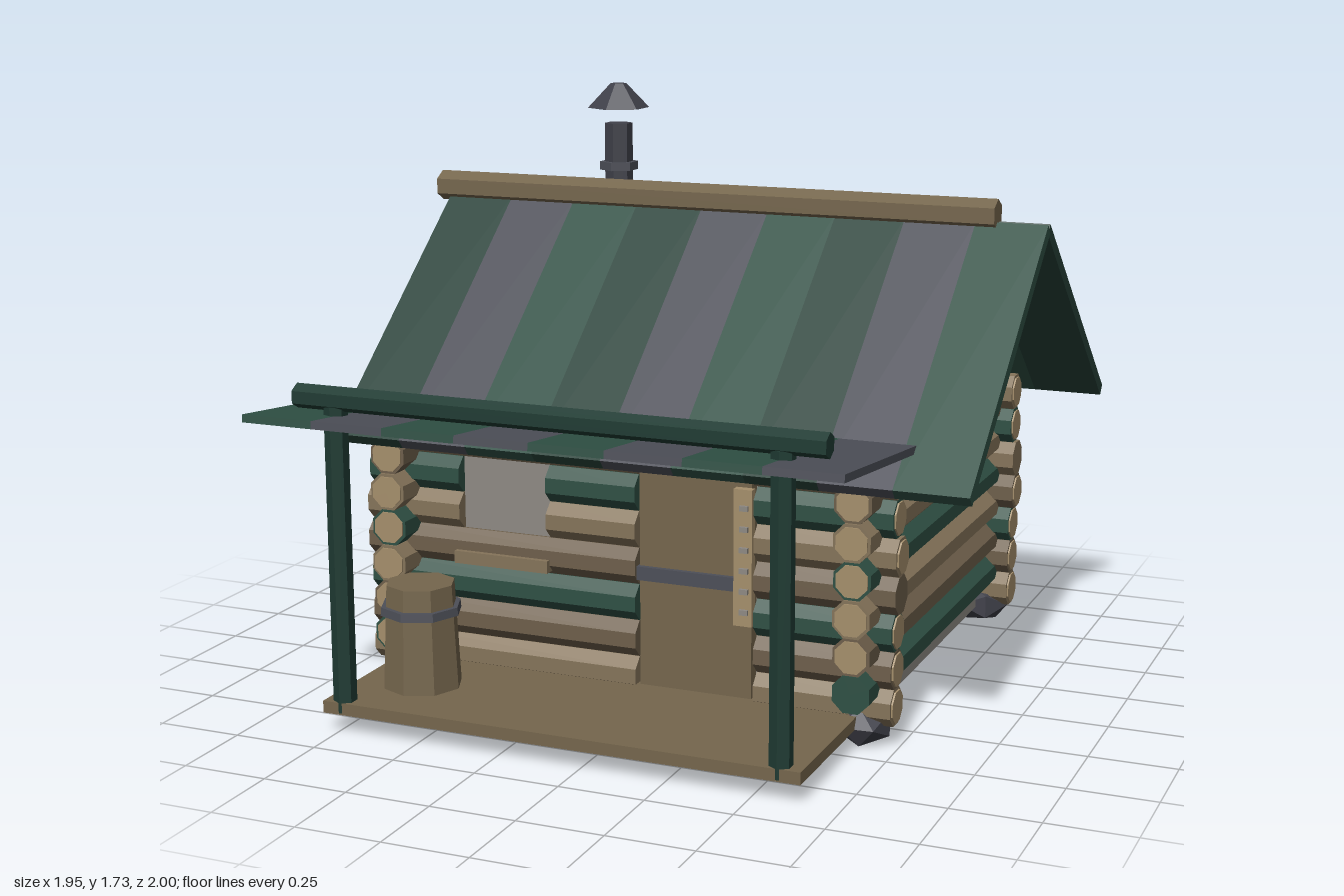
import * as THREE from 'three';

const mat = (color) => new THREE.MeshStandardMaterial({ color, flatShading: true });
const green = mat(0x2f5044), darkGreen = mat(0x274239), postGreen = mat(0x1f3b33), slate = mat(0x4d4f58);
const brown = mat(0x85745a), darkBrown = mat(0x6e5f4b), plank = mat(0x75664d), tan = mat(0xa58f6c);
const wallGrey = mat(0x8e8a84), metal = mat(0x40414a);

export function createModel() {
  const root = new THREE.Group();
  root.name = 'logCabin';

  function add(name, geo, material, x = 0, y = 0, z = 0) {
    const m = new THREE.Mesh(geo, material);
    m.name = name;
    m.position.set(x, y, z);
    root.add(m);
    return m;
  }
  // Box given by its limits
  const block = (name, material, x0, x1, y0, y1, z0, z1) =>
    add(name, new THREE.BoxGeometry(x1 - x0, y1 - y0, z1 - z0), material,
      (x0 + x1) / 2, (y0 + y1) / 2, (z0 + z1) / 2);
  const post = (name, material, r0, r1, h, sides, x, y, z) =>
    add(name, new THREE.CylinderGeometry(r1, r0, h, sides), material, x, y + h / 2, z);

  // Cylinder running along x or z from a to b
  function beam(name, axis, a, b, r, sides, material, y, other) {
    const g = new THREE.CylinderGeometry(r, r, b - a, sides);
    g.rotateY(sides === 8 ? Math.PI / 8 : 0);
    if (axis === 'x') g.rotateZ(-Math.PI / 2); else g.rotateX(Math.PI / 2);
    const c = (a + b) / 2;
    return axis === 'x' ? add(name, g, material, c, y, other) : add(name, g, material, other, y, c);
  }
  // Log with pale cut faces at the chosen ends
  function log(axis, a, b, material, y, other, capA = true, capB = true) {
    beam('log', axis, a, b, 0.058, 8, material, y, other);
    if (capA) beam('logEnd', axis, a - 0.005, a, 0.049, 8, tan, y, other);
    if (capB) beam('logEnd', axis, b, b + 0.005, 0.049, 8, tan, y, other);
  }

  const xL = 0.64, xR = -0.79, zF = 0.37, zB = -0.84;

  // Inner walls and floor
  block('innerWalls', wallGrey, xR, xL, 0.065, 0.83, zB, zF);

  // Front and back logs; the front ones leave openings for door and window
  for (let i = 0; i < 7; i++) {
    const y = 0.123 + i * 0.108;
    const m = i % 3 === 2 ? green : i % 2 ? darkBrown : brown;
    const e = i === 3 || i === 4 ? 0.01 : 0;
    const a = -0.885 - e, b = 0.735 + e;
    log('x', a, b, m, y, zB, true, i !== 4);
    if (i === 6) { log('x', a, b, m, y, zF); continue; }
    const hasWindow = i === 4 || i === 5;
    log('x', a, hasWindow ? -0.59 : -0.03, m, y, zF, true, false);
    if (hasWindow) log('x', -0.31, -0.03, m, y, zF, false, false);
    log('x', 0.33, b, m, y, zF, false, i !== 3);
  }
  // Side logs
  for (const x of [xL, xR]) {
    for (let i = 0; i < 6; i++) {
      const m = i % 3 === 0 ? green : i % 2 ? darkBrown : brown;
      const e = i === 4 || i === 2 ? 0.006 : 0;
      log('z', -0.945 - e, 0.485 + e, m, 0.18 + i * 0.108, x, true, !(x === xL && i === 0));
    }
  }

  // Corner stones
  for (const x of [xL, xR]) for (const z of [zF, zB]) {
    const s = add('cornerStone', new THREE.IcosahedronGeometry(0.09, 0), metal, x, 0.067, z);
    s.scale.y = 0.76;
    s.rotation.y = x * 2 + z;
  }

  // Door with its strap and side board
  block('door', plank, -0.02, 0.32, 0.1, 0.75, zF, 0.41);
  block('doorStrap', slate, -0.025, 0.325, 0.415, 0.455, 0.4, 0.425);
  block('doorBoard', tan, 0.275, 0.33, 0.32, 0.715, 0.41, 0.435);
  for (let i = 0; i < 6; i++)
    block('peg', wallGrey, 0.295, 0.32, 0.355 + i * 0.06, 0.37 + i * 0.06, 0.43, 0.445);

  // Window pane, sill and small awning
  block('windowPane', wallGrey, -0.59, -0.31, 0.44, 0.72, zF, 0.385);
  block('windowSill', brown, -0.6, -0.3, 0.405, 0.442, zF, 0.44);
  block('windowAwning', slate, -0.65, -0.25, 0.805, 0.825, zF, 0.52);

  // Gables
  const tri = new THREE.Shape([[-0.385, 0.885], [0.845, 0.885], [0.23, 1.385]]
    .map(([u, v]) => new THREE.Vector2(u, v)));
  for (const x of [0.62, -0.8]) {
    const g = new THREE.ExtrudeGeometry(tri, { depth: 0.03, bevelEnabled: false });
    add('gable', g.rotateY(Math.PI / 2), plank, x);
  }

  // Row of roof panels between two edges given as [z, y]
  function panels(name, [z0, y0], [z1, y1], t, xa, xb, n, mats) {
    const w = (xb - xa) / n, len = Math.hypot(z1 - z0, y1 - y0);
    for (let i = 0; i < n; i++) {
      const p = add(name, new THREE.BoxGeometry(w, t, len), mats[i % mats.length],
        xa + w * (i + 0.5), (y0 + y1) / 2, (z0 + z1) / 2);
      p.rotation.x = -Math.atan2(y1 - y0, z1 - z0);
    }
  }
  panels('frontRoofPanel', [-0.235, 1.385], [0.515, 0.767], 0.036, -0.94, 0.975, 9, [darkGreen, slate, green]);
  panels('backRoofPanel', [-0.985, 0.767], [-0.235, 1.385], 0.036, -0.94, 0.975, 9, [slate, green, darkGreen]);
  beam('ridgeLog', 'x', -0.975, 0.825, 0.046, 6, plank, 1.42, -0.23).rotation.x = Math.PI / 2;

  // Porch
  block('porchFloor', plank, xR, xL, 0.065, 0.1, zF, 0.88);
  panels('porchRoofPanel', [0.35, 0.862], [0.998, 0.928], 0.022, -0.94, 0.79, 8, [green, slate]);
  for (const x of [-0.735, 0.575]) post('porchPost', postGreen, 0.033, 0.033, 0.88, 6, x, 0.07, 0.85);
  beam('porchBeam', 'x', -0.855, 0.7, 0.035, 6, postGreen, 0.97, 0.85).rotation.x = Math.PI / 2;

  // Barrel
  post('barrel', plank, 0.115, 0.1, 0.305, 8, -0.6, 0.1, 0.645);
  post('barrelHoop', slate, 0.119, 0.117, 0.024, 8, -0.6, 0.318, 0.645);

  // Chimney
  post('chimneyPipe', metal, 0.044, 0.044, 0.51, 6, -0.48, 1.1, -0.48);
  post('chimneyCollar', slate, 0.06, 0.06, 0.026, 6, -0.48, 1.463, -0.48);
  post('chimneyCap', metal, 0.097, 0.025, 0.076, 6, -0.48, 1.658, -0.48);

  return root;
}
